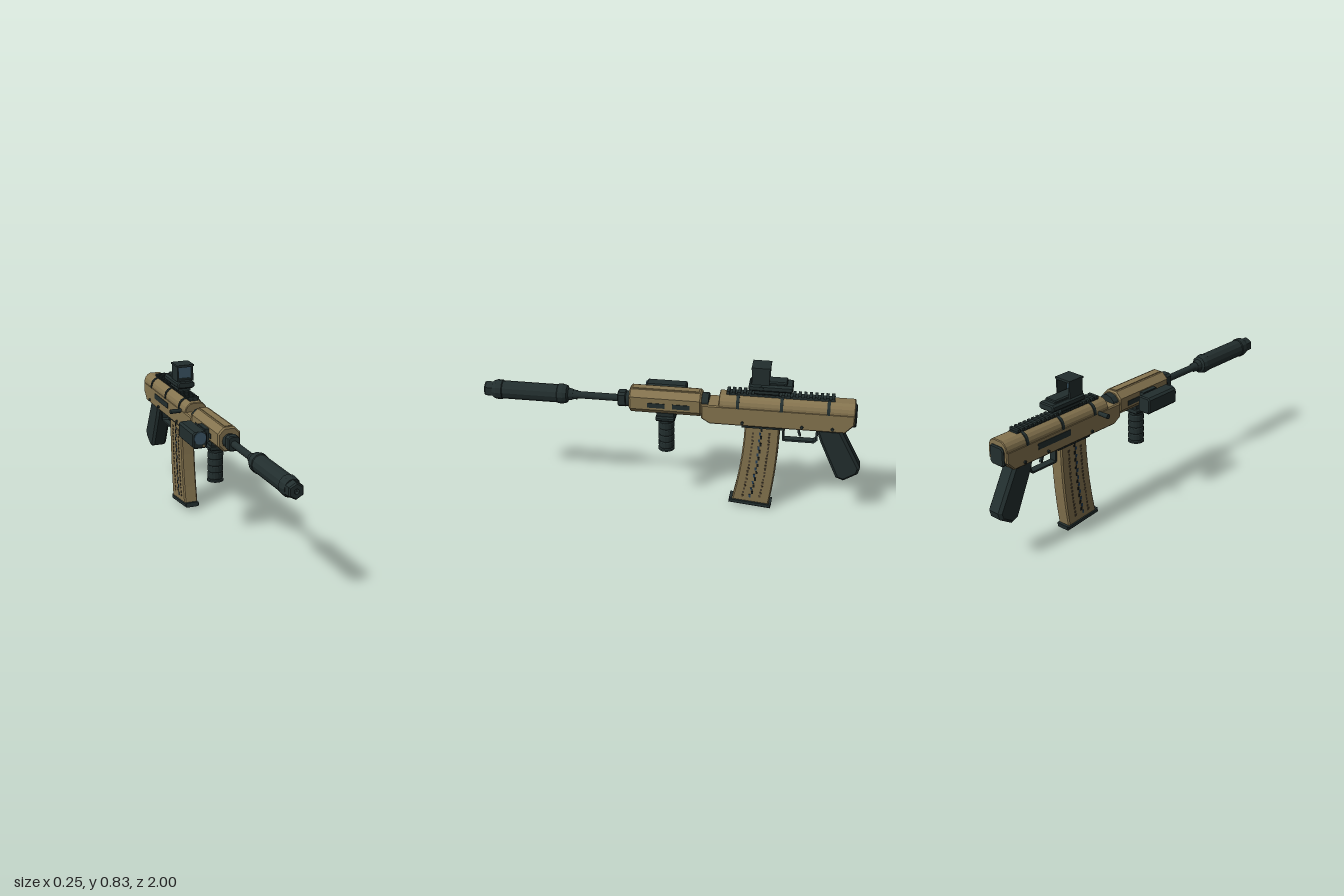
import * as THREE from 'three';

const mat = (name, color) => Object.assign(new THREE.MeshStandardMaterial({ color }), { name });

export function createModel() {
  const tan = mat('tan', 0x85744f), dark = mat('charcoal', 0x222e2e), black = mat('black', 0x141a1b);
  const glass = mat('glass', 0x3d5868), blue = mat('blue round', 0x243f58), brown = mat('brown', 0x4a4030);
  const model = new THREE.Group();
  const body = new THREE.Group();
  body.name = 'body';
  body.position.x = 0.049; // centre plane of the main body
  model.add(body);

  const add = (name, geo, m, parent = body) => {
    const mesh = new THREE.Mesh(geo, m);
    mesh.name = name;
    parent.add(mesh);
    return mesh;
  };
  const box = (x0, x1, y0, y1, z0, z1) =>
    new THREE.BoxGeometry(x1 - x0, y1 - y0, z1 - z0).translate((x0 + x1) / 2, (y0 + y1) / 2, (z0 + z1) / 2);
  const extrude = (shape, depth, b) => new THREE.ExtrudeGeometry(shape, {
    depth: depth - 2 * b, bevelEnabled: b > 0, bevelSize: b, bevelOffset: -b, bevelThickness: b,
    bevelSegments: 1, curveSegments: 10,
  }).translate(0, 0, b);
  const poly = (pts) => new THREE.Shape(pts.map((p) => new THREE.Vector2(p[0], p[1])));
  // Cross-section (x, y) swept along z
  const prismZ = (pts, z0, z1, b = 0) => extrude(poly(pts), z1 - z0, b).translate(0, 0, z0);
  // Side silhouette (z, y) swept across x, centred
  const prismX = (pts, w, b = 0) => extrude(poly(pts), w, b).rotateY(-Math.PI / 2).translate(w / 2, 0, 0);
  const chamfered = (w, y0, y1, c) => [
    [-w + c, y0], [w - c, y0], [w, y0 + c], [w, y1 - c], [w - c, y1], [-w + c, y1], [-w, y1 - c], [-w, y0 + c]];
  // Turned part along z, from [radius, z] pairs
  const turnedZ = (pts, sides, y = 0.583) =>
    new THREE.LatheGeometry(pts.map((p) => new THREE.Vector2(p[0], p[1])), sides)
      .rotateX(Math.PI / 2).toNonIndexed().translate(0, y, 0);
  const flat = (geo) => { geo.computeVertexNormals(); return geo; };

  // Suppressor and barrel
  const can = flat(turnedZ([[0, 0.52], [0.028, 0.52], [0.034, 0.545], [0.047, 0.553], [0.053, 0.575], [0.053, 0.6],
    [0.049, 0.604], [0.049, 0.9], [0.053, 0.904], [0.053, 0.935], [0.045, 0.955], [0, 0.955]], 12));
  can.scale(0.93, 1, 1);
  add('suppressor', can, dark);
  add('suppressorTip', flat(turnedZ([[0, 0.95], [0.043, 0.95], [0.043, 0.992], [0.036, 1], [0.014, 1], [0.013, 0.98], [0, 0.98]], 6)), dark);
  add('barrel', turnedZ([[0.019, 0.2], [0.019, 0.5], [0.025, 0.5], [0.025, 0.53]], 16), dark);
  add('gasBlock', prismZ(chamfered(0.032, 0.545, 0.625, 0.012), 0.235, 0.28, 0.005), dark);
  add('barrelCollar', turnedZ([[0, 0.235], [0.04, 0.235], [0.04, 0.21]].reverse(), 12), dark);

  // Handguard with side slots
  add('handguard', prismZ(chamfered(0.062, 0.525, 0.655, 0.032), -0.165, 0.215, 0.008), tan);
  add('handguardTopRib', box(-0.02, 0.02, 0.65, 0.659, -0.15, 0.2), tan);
  add('handguardJoint', flat(turnedZ([[0, -0.2], [0.055, -0.2], [0.055, -0.16], [0, -0.16]], 12, 0.59)), dark);
  for (const s of [-1, 1])
    for (const z of [0.07, -0.06])
      add('handguardSlot', box(-0.003, 0.003, 0.57, 0.596, z - 0.046, z + 0.046).translate(s * 0.062, 0, 0), dark);

  // Receiver
  add('lowerReceiver', prismX([[-0.165, 0.53], [-0.165, 0.607], [-0.95, 0.607], [-0.95, 0.55], [-0.905, 0.502],
    [-0.21, 0.502]], 0.132, 0.006), tan);
  const dome = (o) => {
    const half = [[0.064 + o, 0.6], [0.063 + o, 0.617], [0.057 + o, 0.634 + o], [0.045 + o, 0.648 + o], [0.03, 0.657 + o]];
    return [...half, ...half.map(([x, y]) => [-x, y]).reverse()];
  };
  add('upperReceiver', prismZ(dome(0), -0.95, -0.255, 0.004), tan);
  for (const z of [-0.353, -0.577, -0.815]) add('strap', prismZ(dome(0.004), z - 0.008, z + 0.008), dark);
  add('buttPlate', prismZ(chamfered(0.048, 0.525, 0.628, 0.014), -0.96, -0.925, 0.006), dark);
  for (const s of [-1, 1])
    for (const z of [-0.38, -0.685, -0.84])
      add('pin', new THREE.CylinderGeometry(0.008, 0.008, 0.012, 10).rotateZ(Math.PI / 2).translate(s * 0.068, 0.522, z), dark);
  add('ejectionPort', box(-0.069, -0.063, 0.553, 0.585, -0.75, -0.53), dark);
  add('chargingHandle', new THREE.CylinderGeometry(0.013, 0.011, 0.065, 10).rotateZ(Math.PI / 2).translate(-0.094, 0.6, -0.322), dark);

  // Top rail
  add('rail', box(-0.024, 0.024, 0.652, 0.667, -0.845, -0.29), dark);
  for (let i = 0; i < 20; i++) {
    const z = -0.3 - i * 0.0281;
    add('railTooth', box(-0.03, 0.03, 0.663, 0.678, z - 0.008, z + 0.008), dark);
  }

  // Reflex sight
  add('sightMount', prismZ(chamfered(0.037, 0.674, 0.704, 0.007), -0.56, -0.435), dark);
  add('sightBase', prismZ(chamfered(0.05, 0.697, 0.735, 0.01), -0.63, -0.405, 0.006), dark);
  add('sightDeck', prismZ(chamfered(0.036, 0.73, 0.75, 0.006), -0.6, -0.415, 0.004), dark);
  add('sightKnob', new THREE.CylinderGeometry(0.011, 0.011, 0.01, 10).rotateZ(Math.PI / 2).translate(0.051, 0.717, -0.47), dark);
  const frame = poly([[-0.047, 0.735], [0.047, 0.735], [0.047, 0.822], [-0.047, 0.822]]);
  frame.holes.push(new THREE.Path([[-0.039, 0.742], [-0.039, 0.815], [0.039, 0.815], [0.039, 0.742]].map((p) => new THREE.Vector2(...p))));
  add('sightHood', extrude(frame, 0.09, 0).translate(0, 0, -0.51), dark);
  add('sightHoodTop', box(-0.05, 0.05, 0.819, 0.829, -0.513, -0.417), dark);
  add('sightGlass', box(-0.04, 0.04, 0.74, 0.817, -0.443, -0.437), glass);

  // Curved magazine
  const front = (t) => -0.392 + 0.012 * t + 0.046 * t * t;
  const rear = (t) => -0.572 + 0.04 * t * t;
  const edgeY = (t, drop) => 0.505 - t * (0.465 + drop);
  const steps = [0, 0.2, 0.4, 0.6, 0.8, 1];
  add('magazine', prismX([...steps.map((t) => [front(t), edgeY(t, 0)]),
    ...steps.map((t) => [rear(t), edgeY(t, 0.018)]).reverse()], 0.078, 0.007), tan);
  add('magazineBase', prismX([[-0.32, 0.047], [-0.316, 0.022], [-0.54, 0], [-0.546, 0.026]], 0.082, 0.005), dark);
  add('magazineWell', box(-0.047, 0.047, 0.485, 0.506, -0.6, -0.375), dark);
  const dash = (name, s, t, k, len, m, shift = 0) => {
    const z = THREE.MathUtils.lerp(front(t), rear(t), k) + shift, y = edgeY(t, 0.009);
    add(name, box(-0.002, 0.002, -len / 2, len / 2, -0.005, 0.005).rotateX(0.1).translate(s * 0.0395, y, z), m);
  };
  for (const s of [-1, 1])
    for (let i = 0; i < 20; i++) {
      const t = 0.07 + i * 0.0445;
      dash('magazineRound', s, t, 0.47, 0.018, i % 2 ? blue : black, i % 2 ? 0.004 : -0.004);
      if (i > 0) for (const k of [0.25, 0.72]) dash('magazineSlot', s, t, k, 0.012, brown);
    }

  // Trigger and guard
  add('triggerGuard', prismX([[-0.585, 0.505], [-0.585, 0.415], [-0.592, 0.408], [-0.75, 0.408], [-0.768, 0.425],
    [-0.768, 0.505], [-0.757, 0.505], [-0.757, 0.428], [-0.746, 0.418], [-0.595, 0.418], [-0.595, 0.505]], 0.04), dark);
  add('trigger', prismX([[-0.665, 0.505], [-0.662, 0.465], [-0.672, 0.435], [-0.682, 0.437], [-0.674, 0.465],
    [-0.682, 0.505]], 0.016), dark);

  // Rear grip
  add('rearGrip', prismX([[-0.758, 0.505], [-0.885, 0.505], [-0.997, 0.29], [-0.987, 0.252], [-0.915, 0.207],
    [-0.875, 0.222], [-0.782, 0.43]], 0.09, 0.014), dark);

  // Vertical front grip
  add('frontGripMount', prismZ(chamfered(0.053, 0.485, 0.512, 0.008), -0.025, 0.075, 0.004), dark);
  add('frontGripClamp', box(-0.04, 0.04, 0.505, 0.53, -0.02, 0.07), dark);
  const gripProfile = [[0, 0.303], [0.044, 0.303], [0.044, 0.312], [0.038, 0.316]];
  for (let i = 0; i < 4; i++) {
    const y = 0.325 + i * 0.037;
    gripProfile.push([0.042, y], [0.042, y + 0.026], [0.039, y + 0.031]);
  }
  gripProfile.push([0.041, 0.475], [0.041, 0.49]);
  add('frontGrip', flat(new THREE.LatheGeometry(gripProfile.map((p) => new THREE.Vector2(p[0], p[1])), 16)
    .toNonIndexed()).translate(0, 0, 0.025), dark);

  // Side lamp
  const lamp = new THREE.Group();
  lamp.name = 'sideLamp';
  lamp.position.x = -0.086;
  model.add(lamp);
  add('lampBody', prismZ(chamfered(0.039, 0.535, 0.625, 0.011), -0.065, 0.15, 0.006), dark, lamp);
  add('lampLens', new THREE.CylinderGeometry(0.033, 0.033, 0.006, 24).rotateX(Math.PI / 2).translate(0, 0.592, 0.151), glass, lamp);
  add('lampSensor', new THREE.CylinderGeometry(0.006, 0.006, 0.006, 10).rotateX(Math.PI / 2).translate(0.019, 0.549, 0.15), tan, lamp);
  add('lampMount', box(0.035, 0.058, 0.552, 0.612, -0.005, 0.085), dark, lamp);
  add('lampClamp', box(0.05, 0.075, 0.545, 0.618, -0.012, 0.092), dark, lamp);

  return model;
}
